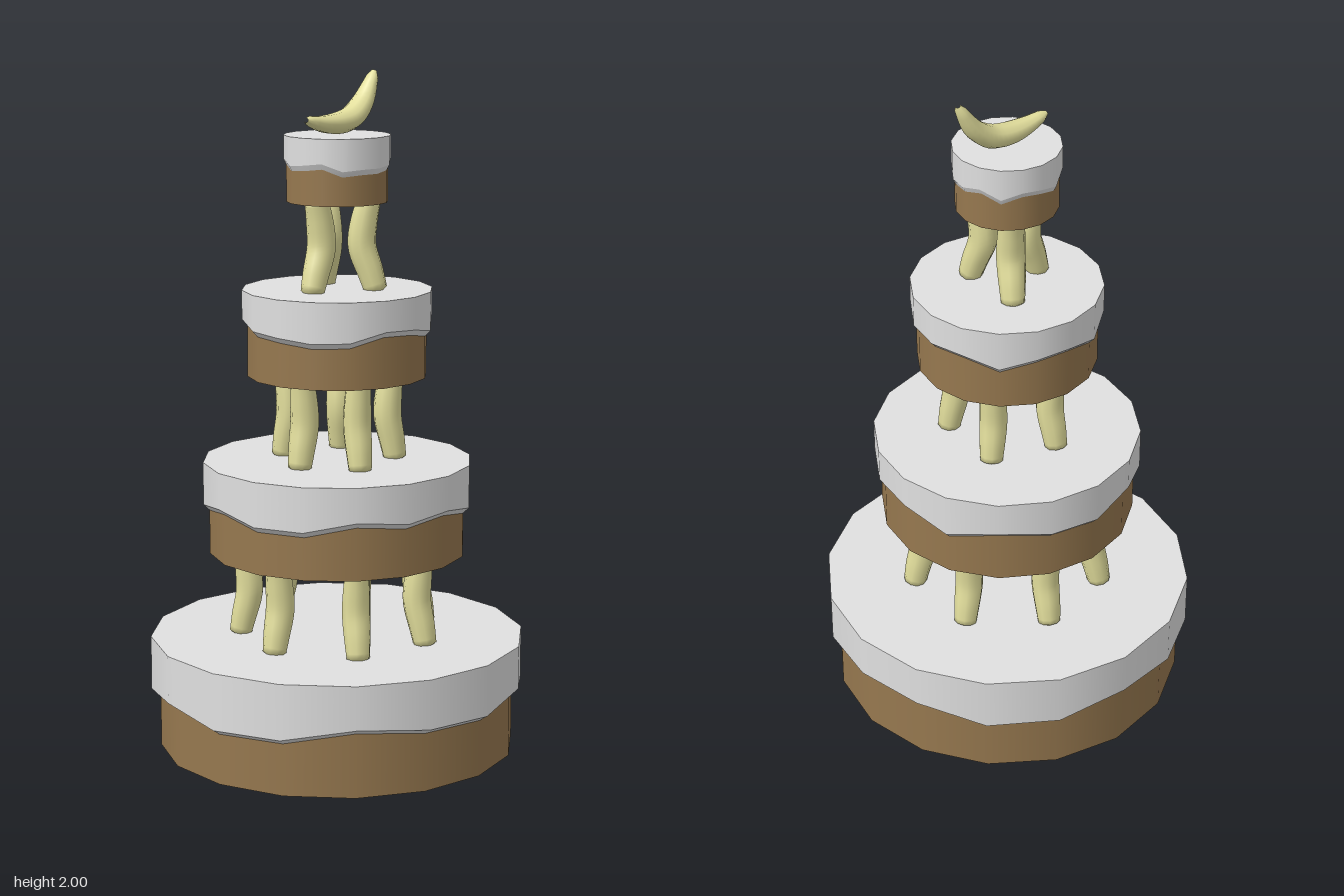
import * as THREE from 'three';
import { mergeVertices } from 'three/addons/utils/BufferGeometryUtils.js';

const SIDES = 16;

// Each tier: base and top height, cake and icing radius, twist, drip height at each corner from the front toward +x
const TIERS = [
  { y0: 0, y1: 0.337, cake: 0.53, icing: 0.557, twist: 0,
    drips: [0.185, 0.208, 0.18, 0.185, 0.205, 0.207, 0.175, 0.18, 0.21, 0.19, 0.175, 0.195, 0.168, 0.172, 0.208, 0.19] },
  { y0: 0.592, y1: 0.867, cake: 0.38, icing: 0.398, twist: 0.045,
    drips: [0.765, 0.74, 0.77, 0.765, 0.77, 0.735, 0.765, 0.75, 0.745, 0.77, 0.74, 0.76, 0.735, 0.735, 0.765, 0.75] },
  { y0: 1.12, y1: 1.375, cake: 0.264, icing: 0.28, twist: 0.03,
    drips: [1.28, 1.262, 1.295, 1.28, 1.28, 1.285, 1.255, 1.28, 1.285, 1.26, 1.29, 1.27, 1.265, 1.255, 1.258, 1.285] },
  { y0: 1.63, y1: 1.823, cake: 0.148, icing: 0.156, twist: 0,
    drips: [1.735, 1.74, 1.755, 1.735, 1.74, 1.755, 1.73, 1.75, 1.745, 1.73, 1.755, 1.74, 1.745, 1.752, 1.73, 1.735] },
];

// Rings of supports; angles in degrees from +x toward +z; flare pushes the foot outward
const RINGS = [
  { radius: 0.262, flare: 0.03, angles: [0, 1, 2, 3, 4, 5, 6].map((i) => 180 + i * 360 / 7) },
  { radius: 0.15, flare: 0.025, angles: [180, 252, 324, 42, 118] },
  { radius: 0.073, flare: 0.045, angles: [60, 180, 300] },
];

export function createModel() {
  const sponge = new THREE.MeshStandardMaterial({ color: 0x96784f });
  const icing = new THREE.MeshStandardMaterial({ color: 0xe0e0e0 });
  const fruit = new THREE.MeshStandardMaterial({ color: 0xe2de9c });

  const model = new THREE.Group();
  const add = (parent, name, geometry, material) => {
    const mesh = new THREE.Mesh(geometry, material);
    mesh.name = name;
    parent.add(mesh);
    return mesh;
  };

  // Open band whose two edges follow the drip heights or a fixed height
  const band = (rTop, rBottom, topY, bottomY) => {
    const g = new THREE.CylinderGeometry(rTop, rBottom, 1, SIDES, 1, true);
    const p = g.attributes.position;
    for (let i = 0; i <= SIDES; i++) {
      p.setY(i, topY(i % SIDES));
      p.setY(i + SIDES + 1, bottomY(i % SIDES));
    }
    return g;
  };

  // Tapered tube along a curve, closed at both ends
  const bananaGeometry = (points, radius, taper) => {
    const curve = new THREE.CatmullRomCurve3(points);
    const steps = 20, around = 10;
    const g = new THREE.TubeGeometry(curve, steps, radius, around, false);
    const p = g.attributes.position;
    const v = new THREE.Vector3();
    for (let i = 0; i <= steps; i++) {
      const centre = curve.getPointAt(i / steps);
      const scale = i === 0 || i === steps ? 0.2 : taper(i / steps);
      for (let j = 0; j <= around; j++) {
        const k = i * (around + 1) + j;
        v.fromBufferAttribute(p, k).sub(centre).multiplyScalar(scale).add(centre);
        p.setXYZ(k, v.x, v.y, v.z);
      }
    }
    g.deleteAttribute('normal');
    g.deleteAttribute('uv');
    const smooth = mergeVertices(g, 1e-5);
    smooth.computeVertexNormals();
    return smooth;
  };

  // Cake tiers with drooping icing
  TIERS.forEach((t, n) => {
    const tier = new THREE.Group();
    tier.name = `tier${n + 1}`;
    tier.rotation.y = t.twist;
    model.add(tier);

    const height = t.y1 - t.y0 - 0.01;
    add(tier, 'sponge', new THREE.CylinderGeometry(t.cake, t.cake, height, SIDES), sponge)
      .position.y = t.y0 + height / 2;

    const top = add(tier, 'icingTop', new THREE.CircleGeometry(t.icing, SIDES), icing);
    top.rotation.x = -Math.PI / 2;
    top.position.y = t.y1;

    add(tier, 'icingSide', band(t.icing, t.icing, () => t.y1, (i) => t.drips[i]), icing);

    const lip = band(t.icing, t.cake - 0.001, (i) => t.drips[i], (i) => t.drips[i] - 0.018);
    lip.computeVertexNormals();
    add(tier, 'icingLip', lip, icing);
  });

  // Banana pillars standing between the tiers, bowed inward
  RINGS.forEach((ring, n) => {
    const y0 = TIERS[n].y1, y1 = TIERS[n + 1].y0, gap = y1 - y0;
    const f = ring.flare;
    const path = [
      [f, y0 - 0.015], [f * 0.55, y0 + gap * 0.2], [0, y0 + gap * 0.5],
      [f * 0.15, y0 + gap * 0.8], [f * 0.6, y1 + 0.03],
    ].map(([x, y]) => new THREE.Vector3(ring.radius + x, y, 0));
    const geometry = bananaGeometry(path, 0.042, (t) => 0.78 + 0.22 * Math.sin(Math.PI * t));
    const group = new THREE.Group();
    group.name = `pillarRing${n + 1}`;
    model.add(group);
    ring.angles.forEach((a) => {
      add(group, 'bananaPillar', geometry, fruit).rotation.y = -THREE.MathUtils.degToRad(a);
    });
  });

  // Banana lying on the top tier
  const topPath = [
    [-0.14, 1.873], [-0.07, 1.858], [0, 1.855], [0.06, 1.867], [0.115, 1.908], [0.15, 1.96], [0.17, 1.997],
  ].map(([x, y]) => new THREE.Vector3(x, y, 0));
  const topBanana = bananaGeometry(topPath, 0.033, (t) => 0.36 + 0.64 * Math.sin(Math.PI * t));
  add(model, 'topBanana', topBanana, fruit).scale.z = 1.28;

  return model;
}
